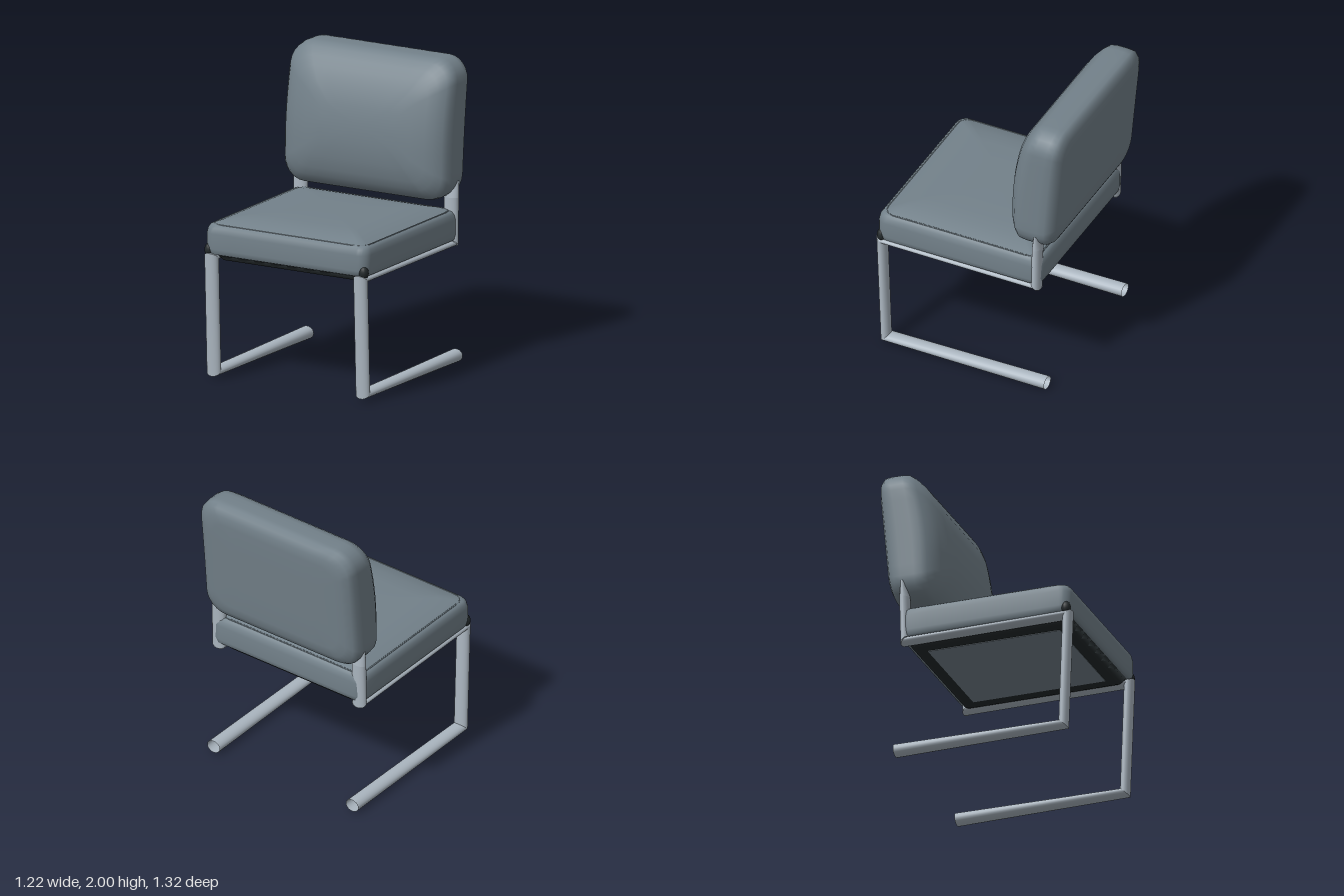
import * as THREE from 'three';

const fabric = new THREE.MeshStandardMaterial({ color: 0x73818a });
fabric.name = 'greyUpholstery';
const metal = new THREE.MeshStandardMaterial({ color: 0xabb6c0, side: THREE.DoubleSide });
metal.name = 'paleMetal';
const dark = new THREE.MeshStandardMaterial({ color: 0x23292b });
dark.name = 'darkTrim';

// Skin a list of closed rings of Vector3, optionally closing both ends
function loft(rings, caps = true) {
  const n = rings[0].length, pos = [], idx = [];
  rings.forEach(r => r.forEach(p => pos.push(p.x, p.y, p.z)));
  for (let i = 0; i < rings.length - 1; i++) {
    for (let j = 0; j < n; j++) {
      const a = i * n + j, b = i * n + (j + 1) % n;
      idx.push(a, b, b + n, a, b + n, a + n);
    }
  }
  if (caps) {
    [0, rings.length - 1].forEach((i, end) => {
      const c = new THREE.Vector3();
      rings[i].forEach(p => c.addScaledVector(p, 1 / n));
      const k = pos.length / 3;
      pos.push(c.x, c.y, c.z);
      for (let j = 0; j < n; j++) {
        const a = i * n + j, b = i * n + (j + 1) % n;
        idx.push(k, ...(end ? [a, b] : [b, a]));
      }
    });
  }
  const g = new THREE.BufferGeometry();
  g.setAttribute('position', new THREE.Float32BufferAttribute(pos, 3));
  g.setIndex(idx);
  g.computeVertexNormals();
  return g;
}

// Rounded rectangle, counter-clockwise, with points along the straight edges
function outline(hw, hh, r) {
  const pts = [], arc = 6, edge = 8;
  const corners = [[1, 1], [-1, 1], [-1, -1], [1, -1]];
  corners.forEach(([sx, sy], q) => {
    for (let i = 0; i <= arc; i++) {
      const t = (q + i / arc) * Math.PI / 2;
      pts.push([sx * (hw - r) + r * Math.cos(t), sy * (hh - r) + r * Math.sin(t)]);
    }
    const [nx, ny] = corners[(q + 1) % 4], t = (q + 1) * Math.PI / 2;
    const from = pts[pts.length - 1];
    const to = [nx * (hw - r) + r * Math.cos(t), ny * (hh - r) + r * Math.sin(t)];
    for (let i = 1; i < edge; i++) {
      const f = i / edge;
      pts.push([from[0] + (to[0] - from[0]) * f, from[1] + (to[1] - from[1]) * f]);
    }
  });
  return pts;
}

// Horizontal ring of the seat at a given inset and height
const SEAT_Z = 0.075;
function seatRing(inset, y, hw = 0.605, hd = 0.583, r = 0.07) {
  const rr = Math.max(r - inset * 0.4, 0.03);
  return outline(hd - inset, hw - inset, rr)
    .map(([z, x]) => new THREE.Vector3(x, y, z + SEAT_Z));
}

// Vertical ring of the backrest; w runs from the leaning back face to the puffed front
function backRing(inset, w) {
  const r = Math.max(0.15 - inset * 0.4, 0.05);
  return outline(0.61 - inset, 0.455 - inset, r).map(([x, v]) => {
    const y = 1.545 + v;
    const rear = -0.59 - 0.093 * (y - 1.15);
    const front = -0.23 - 0.35 * Math.max(0, y - 1.38) ** 2;
    return new THREE.Vector3(x, y, rear + (front - rear) * w);
  });
}

// One straight length of oval tube between two mitred ends [z, y, z, y]
function tubeLength(a, b, cx, hw) {
  const ring = ([z0, y0, z1, y1]) => Array.from({ length: 20 }, (_, i) => {
    const t = i / 20 * Math.PI * 2, s = Math.sin(t) / 2;
    return new THREE.Vector3(cx + hw * Math.cos(t),
      (y0 + y1) / 2 + (y0 - y1) * s, (z0 + z1) / 2 + (z0 - z1) * s);
  });
  return loft([ring(a), ring(b)], false);
}

export function createModel() {
  const chair = new THREE.Group();
  chair.name = 'cantileverChair';
  const add = (name, geo, mat, parent = chair) => {
    const m = new THREE.Mesh(geo, mat);
    m.name = name;
    parent.add(m);
    return m;
  };

  // Backrest cushion
  add('backrest', loft([
    [0.3, 0], [0.13, 0], [0.07, 0.02], [0.025, 0.08], [0.004, 0.17], [0, 0.3], [0, 0.55],
    [0.006, 0.68], [0.03, 0.77], [0.075, 0.86], [0.13, 0.92], [0.22, 0.98], [0.34, 1],
  ].map(([d, w]) => backRing(d, w))), fabric);

  // Seat cushion with a softly crowned top
  add('seatCushion', loft([
    [0.1, 0.82], [0.02, 0.82], [0.008, 0.826], [0, 0.86], [0, 0.96], [0.008, 0.995],
    [0.022, 1.012], [0.04, 1.018], [0.08, 1.033], [0.15, 1.05], [0.25, 1.06], [0.42, 1.062],
  ].map(([d, y]) => seatRing(d, y))), fabric);

  // Piping around the top of the seat
  const seam = new THREE.CatmullRomCurve3(seatRing(0.036, 1.016, 0.605, 0.583, 0.09), true);
  add('seatPiping', new THREE.TubeGeometry(seam, 120, 0.005, 6, true), fabric);

  // Dark tapered tray under the seat, with a covered centre panel
  const tray = (d, y) => seatRing(d, y, 0.53, 0.56, 0.03);
  add('seatTray', loft([tray(0.05, 0.782), tray(0.03, 0.784), tray(0, 0.825)]), dark);
  const panel = add('undersidePanel', new THREE.BoxGeometry(0.82, 0.006, 0.9), fabric);
  panel.position.set(0, 0.781, SEAT_Z);

  // Side frames: floor runner, front leg, seat rail and rear post
  const stations = [
    [-0.54, 0, -0.54, 0.085],
    [0.635, 0.015, 0.575, 0.07],
    [0.667, 0.83, 0.6, 0.78],
    [-0.437, 0.822, -0.498, 0.775],
    [-0.442, 1.1, -0.506, 1.1],
    [-0.46, 1.21, -0.495, 1.21],
  ];
  const names = ['floorRunner', 'frontLeg', 'seatRail', 'rearPost', 'rearPostTip'];
  for (const side of [1, -1]) {
    const frame = new THREE.Group();
    frame.name = side > 0 ? 'leftFrame' : 'rightFrame';
    chair.add(frame);
    names.forEach((name, i) => {
      const post = i > 2;
      add(name, tubeLength(stations[i], stations[i + 1], side * (post ? 0.56 : 0.554),
        post ? 0.052 : 0.05), metal, frame);
    });
    // Dark cap where the front leg meets the seat corner
    const cap = add('cornerCap', new THREE.SphereGeometry(1, 16, 12), dark, frame);
    cap.scale.set(0.032, 0.045, 0.032);
    cap.position.set(side * 0.574, 0.847, 0.628);
  }
  return chair;
}
